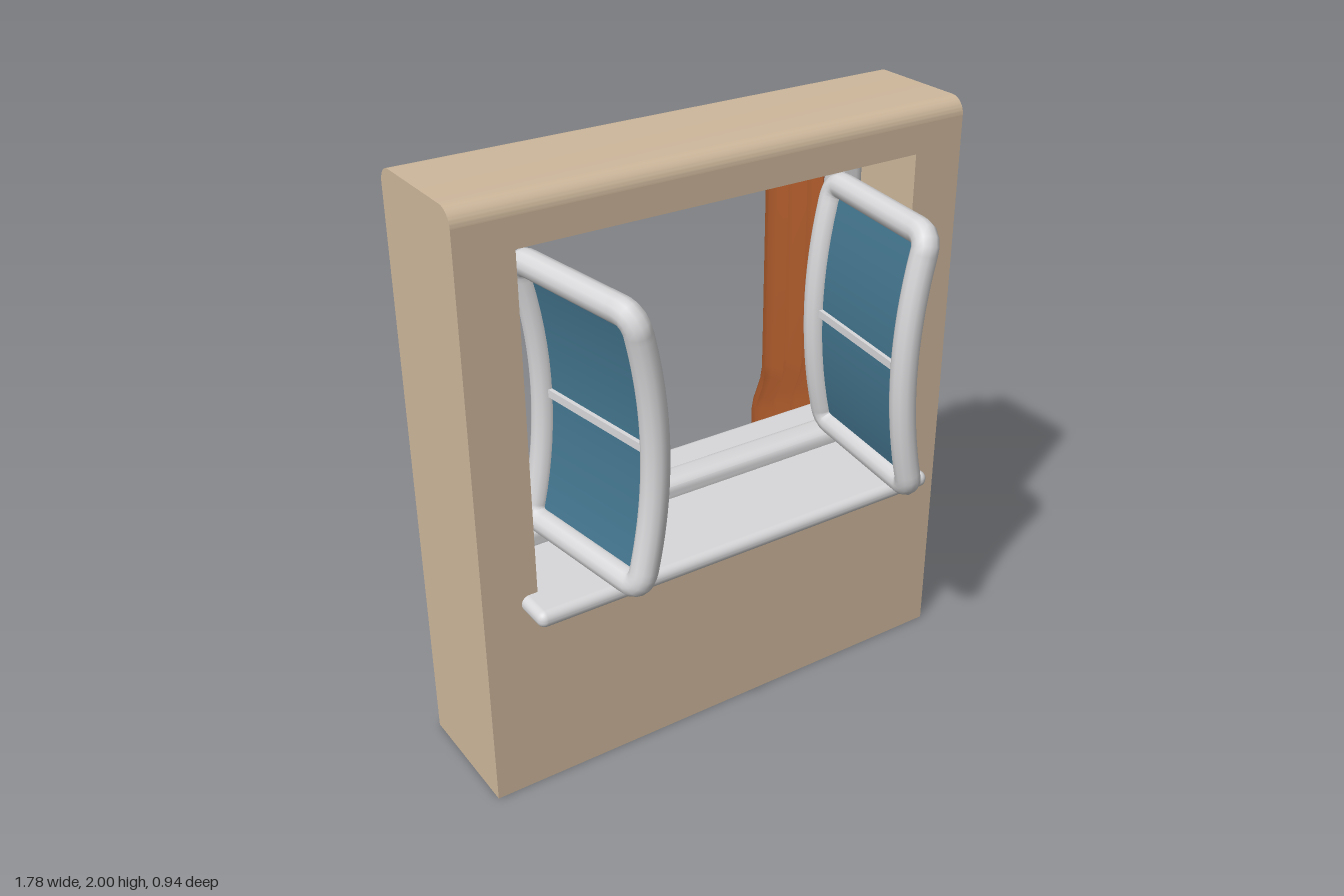
import * as THREE from 'three';
import { toCreasedNormals } from 'three/addons/utils/BufferGeometryUtils.js';
import { RoundedBoxGeometry } from 'three/addons/geometries/RoundedBoxGeometry.js';

const material = (name, color, side = THREE.FrontSide) => {
  const m = new THREE.MeshStandardMaterial({ color, side });
  m.name = name;
  return m;
};

// Rectangle outline with rounded corners (radius 0 gives sharp ones)
function outline(target, x0, y0, x1, y1, r = 0) {
  target.moveTo(x0 + r, y0);
  target.lineTo(x1 - r, y0);
  if (r) target.absarc(x1 - r, y0 + r, r, -Math.PI / 2, 0);
  target.lineTo(x1, y1 - r);
  if (r) target.absarc(x1 - r, y1 - r, r, 0, Math.PI / 2);
  target.lineTo(x0 + r, y1);
  if (r) target.absarc(x0 + r, y1 - r, r, Math.PI / 2, Math.PI);
  target.lineTo(x0, y0 + r);
  if (r) target.absarc(x0 + r, y0 + r, r, Math.PI, Math.PI * 1.5);
  return target;
}

// Extruded rectangle with a rectangular hole
function ring(outer, hole, options) {
  const shape = outline(new THREE.Shape(), ...outer);
  shape.holes.push(outline(new THREE.Path(), ...hole));
  return new THREE.ExtrudeGeometry(shape, options);
}

export function createModel() {
  const tan = material('wall tan', 0xceb89c);
  const brown = material('panel brown', 0x803e22);
  const rust = material('curtain rust', 0xb05c2c, THREE.DoubleSide);
  const white = material('frame white', 0xd8d8da);
  const grey = material('rod grey', 0x868686);
  const blue = material('glass blue', 0x44768f, THREE.DoubleSide);

  const model = new THREE.Group();
  model.name = 'window';
  const add = (parent, name, geometry, mat, x = 0, y = 0, z = 0) => {
    const mesh = new THREE.Mesh(geometry, mat);
    mesh.name = name;
    mesh.position.set(x, y, z);
    parent.add(mesh);
    return mesh;
  };

  // Wall with its opening
  const capY = 1.945;
  add(model, 'wall', ring([-0.89, 0, 0.89, capY], [-0.705, 0.67, 0.705, 1.85],
    { depth: 0.44, bevelEnabled: false }), tan, 0, 0, -0.29);

  // Wall top, rounded along the front and back edges
  const r = 2 - capY;
  const cap = new THREE.Shape();
  cap.moveTo(-0.15, capY);
  cap.lineTo(0.29, capY);
  cap.absarc(0.29 - r, capY, r, 0, Math.PI / 2);
  cap.lineTo(-0.15 + r, 2);
  cap.absarc(-0.15 + r, capY, r, Math.PI / 2, Math.PI);
  const capGeometry = new THREE.ExtrudeGeometry(cap, { depth: 1.78, bevelEnabled: false, curveSegments: 8 });
  capGeometry.rotateY(Math.PI / 2);
  add(model, 'wallTop', toCreasedNormals(capGeometry, 0.6), tan, -0.89);

  // Thin panel on the inside of the wall
  add(model, 'innerPanel', ring([-0.84, 0.28, 0.84, 1.94], [-0.695, 0.68, 0.695, 1.84],
    { depth: 0.008, bevelEnabled: false }), brown, 0, 0, -0.296);

  // Fixed window frame with rounded bars
  const frame = ring([-0.66, 0.735, 0.66, 1.805, 0.02], [-0.64, 0.75, 0.64, 1.795],
    { depth: 0.04, bevelSize: 0.04, bevelThickness: 0.04, bevelSegments: 5, curveSegments: 6 });
  add(model, 'windowFrame', toCreasedNormals(frame, 0.7), white, 0, 0, -0.16);

  // Sill and curtain rod
  add(model, 'sill', new RoundedBoxGeometry(1.52, 0.057, 0.65, 4, 0.027), white, 0, 0.706, -0.055);
  add(model, 'curtainRod', new RoundedBoxGeometry(1.68, 0.08, 0.058, 4, 0.024), grey, 0, 1.9, -0.325);

  // Bowed, half-open sashes: u runs from hinge to tip, v is the height from the middle
  const width = 0.53, half = 0.437;
  for (const side of [-1, 1]) {
    const sash = new THREE.Group();
    sash.name = side > 0 ? 'leftSash' : 'rightSash';
    model.add(sash);
    const place = (u, v) => new THREE.Vector3(
      side * (0.522 - 0.123 * u + 0.06 * (v / half) ** 2) + 0.0075, 1.272 + v, -0.1 + u);

    const path = outline(new THREE.Path(), 0, -half, width, half, 0.045);
    path.closePath();
    const points = path.getSpacedPoints(90).slice(0, -1).map(p => place(p.x, p.y));
    const loop = new THREE.CatmullRomCurve3(points, true);
    add(sash, 'sashFrame', new THREE.TubeGeometry(loop, 140, 0.043, 12, true), white);

    const glass = new THREE.PlaneGeometry(width, half * 2, 1, 16);
    const pos = glass.attributes.position;
    for (let i = 0; i < pos.count; i++) {
      const p = place(pos.getX(i) + width / 2, pos.getY(i));
      pos.setXYZ(i, p.x, p.y, p.z);
    }
    glass.computeVertexNormals();
    add(sash, 'glass', glass, blue);

    const bar = add(sash, 'glazingBar', new THREE.BoxGeometry(0.028, 0.026, width), white);
    bar.position.copy(place(width / 2, 0));
    bar.rotation.y = -side * Math.atan(0.123);
  }

  // Pleated curtains: a fold profile swept down and pushed out over the sill
  const valleys = [-0.82, -0.735, -0.655, -0.58, -0.5];
  const peaks = [0.065, 0.09, 0.075, 0.085];
  const rows = [[1.86, 0], [0.94, 0], [0.89, 0.01], [0.79, 0.05], [0.74, 0.06], [0.49, 0.06]];
  const folds = [[valleys[0], 0]];
  peaks.forEach((h, i) => {
    for (const [t, k] of [[0.22, 0.62], [0.4, 0.95], [0.5, 1], [0.6, 0.95], [0.78, 0.62], [1, 0]]) {
      folds.push([THREE.MathUtils.lerp(valleys[i], valleys[i + 1], t), h * k]);
    }
  });
  for (const [name, shift] of [['rightCurtain', 0], ['leftCurtain', 1.3]]) {
    const sheet = new THREE.PlaneGeometry(1, 1, folds.length - 1, rows.length - 1);
    rows.forEach(([y, out], j) => folds.forEach(([x, depth], i) => {
      sheet.attributes.position.setXYZ(j * folds.length + i, x, y, -0.32 - out - depth);
    }));
    add(model, name, toCreasedNormals(sheet, 0.7), rust, shift);
  }

  return model;
}
